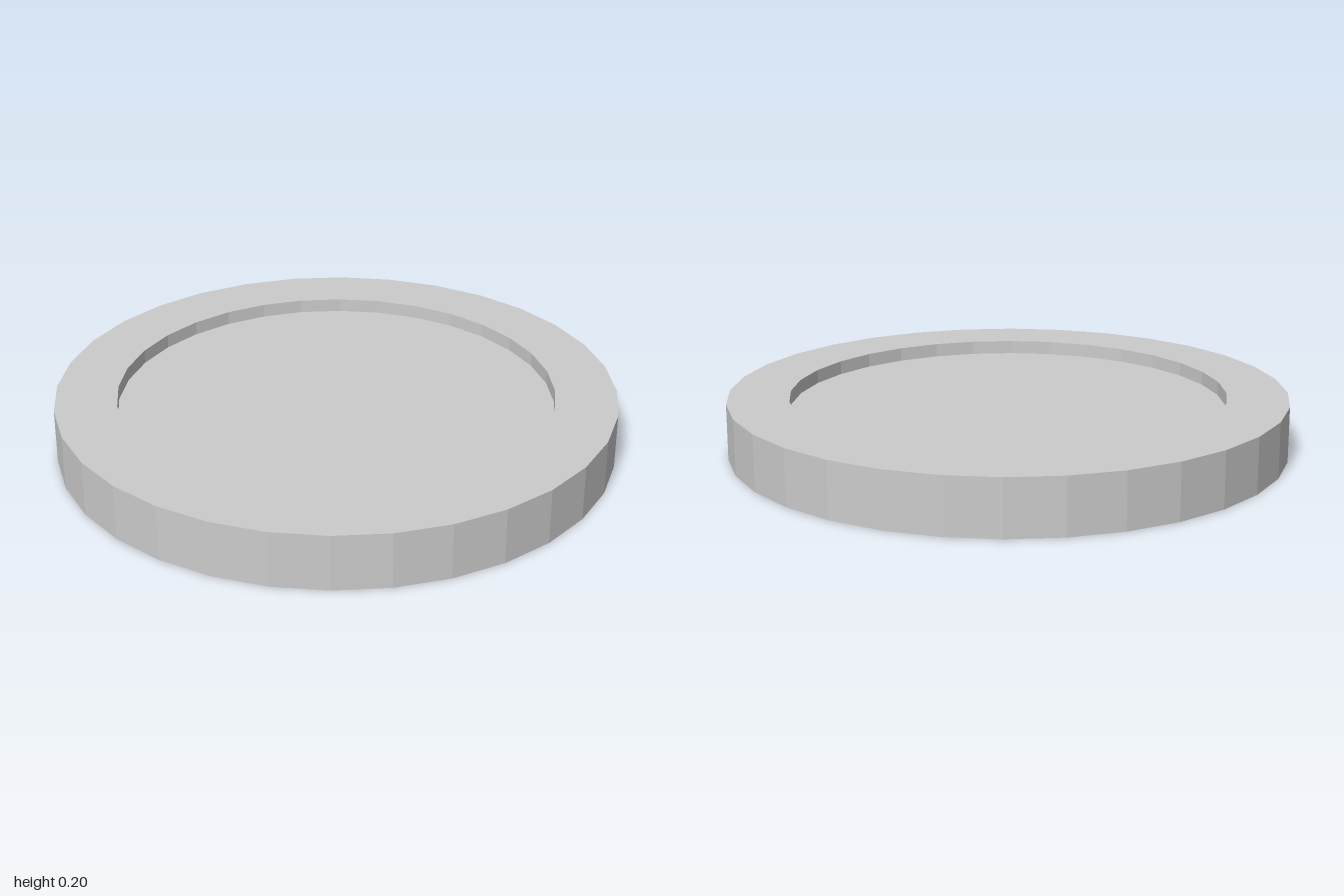
import * as THREE from 'three';

const SIDES = 32;
const HEIGHT = 0.2;
const OUTER = 1;
const INNER = 0.78;
const RECESS = 0.05;

export function createModel() {
  const group = new THREE.Group();
  group.name = 'recessedDisc';
  const material = new THREE.MeshStandardMaterial({ color: 0xcccccc, flatShading: true });

  const addLathe = (name, profile) => {
    const points = profile.map(([r, y]) => new THREE.Vector2(r, y));
    const mesh = new THREE.Mesh(new THREE.LatheGeometry(points, SIDES), material);
    mesh.name = name;
    group.add(mesh);
  };

  // Raised rim: inner lip below, underside, outer wall, top, inner lip above
  addLathe('rim', [
    [INNER, RECESS], [INNER, 0], [OUTER, 0],
    [OUTER, HEIGHT], [INNER, HEIGHT], [INNER, HEIGHT - RECESS],
  ]);

  // Sunken faces on both sides
  addLathe('lowerFace', [[0, RECESS], [INNER, RECESS]]);
  addLathe('upperFace', [[INNER, HEIGHT - RECESS], [0, HEIGHT - RECESS]]);

  return group;
}
